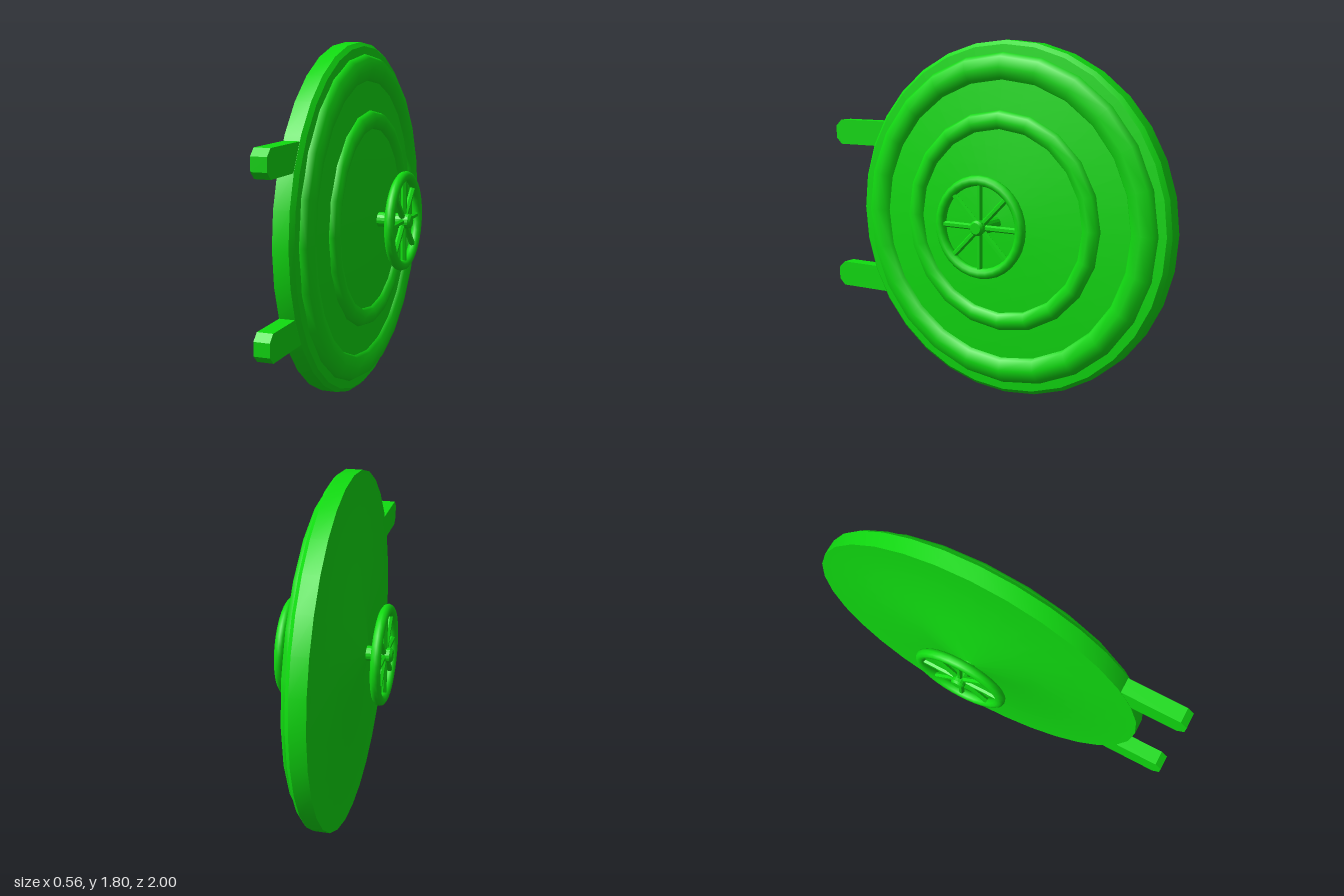
import * as THREE from 'three';
import { toCreasedNormals } from 'three/addons/utils/BufferGeometryUtils.js';

const green = new THREE.MeshStandardMaterial({ color: 0x10dc10 });

function part(name, geometry, parent) {
  const mesh = new THREE.Mesh(geometry, green);
  mesh.name = name;
  parent.add(mesh);
  return mesh;
}

// Solid of revolution around the x axis from [radius, x] pairs
function turned(profile, segments) {
  const points = profile.map(([r, x]) => new THREE.Vector2(r, x));
  const geometry = new THREE.LatheGeometry(points, segments).rotateZ(-Math.PI / 2);
  return toCreasedNormals(geometry, 0.35);
}

// Raised ring around the x axis, with an elliptical section
function ring(radius, halfWidth, depth, sides, segments) {
  return new THREE.TorusGeometry(radius, halfWidth, sides, segments)
    .scale(1, 1, depth / halfWidth)
    .rotateY(Math.PI / 2);
}

function handWheel(name, x, parent) {
  const wheel = new THREE.Group();
  wheel.name = name;
  wheel.position.x = x;
  parent.add(wheel);
  part('wheelRim', ring(0.229, 0.026, 0.026, 10, 32), wheel);
  for (let i = 0; i < 8; i++) {
    const spoke = new THREE.CylinderGeometry(0.015, 0.015, 0.2, 6)
      .translate(0, 0.125, 0)
      .rotateX((i * Math.PI) / 4);
    part('wheelSpoke', toCreasedNormals(spoke, 0.6), wheel);
  }
}

export function createModel() {
  const model = new THREE.Group();
  model.name = 'hatchDoor';

  // Round door, axis along x
  const door = new THREE.Group();
  door.name = 'door';
  door.position.set(0, 0.9, -0.1);
  model.add(door);

  part('doorDisc', turned([
    [0, -0.15], [0.04, -0.15], [0.32, -0.08], [0.9, -0.08],
    [0.9, 0], [0.88, 0.02], [0, 0.108],
  ], 32), door);

  // Raised rings on the domed face
  part('outerRing', ring(0.77, 0.073, 0.05, 8, 24), door).position.x = 0.02;
  part('innerRing', ring(0.51, 0.05, 0.04, 8, 20), door).position.x = 0.05;

  // Axle with bevelled ends and a hand wheel on each side
  part('axle', turned([
    [0, -0.28], [0.028, -0.28], [0.038, -0.268],
    [0.038, 0.268], [0.028, 0.28], [0, 0.28],
  ], 16), door);
  handWheel('leftHandWheel', 0.238, door);
  handWheel('rightHandWheel', -0.238, door);

  // Two hinge bars with chamfered ends
  const bar = new THREE.Shape();
  bar.moveTo(-0.4, -0.067);
  bar.lineTo(-0.965, -0.067);
  bar.lineTo(-1, -0.033);
  bar.lineTo(-1, 0.033);
  bar.lineTo(-0.965, 0.067);
  bar.lineTo(-0.4, 0.067);
  const barGeometry = new THREE.ExtrudeGeometry(bar, { depth: 0.078, bevelEnabled: false })
    .rotateY(Math.PI / 2)
    .translate(-0.079, 0, 0);
  for (const [name, y] of [['upperHinge', 1.303], ['lowerHinge', 0.503]]) {
    part(name, barGeometry, model).position.y = y;
  }

  return model;
}
